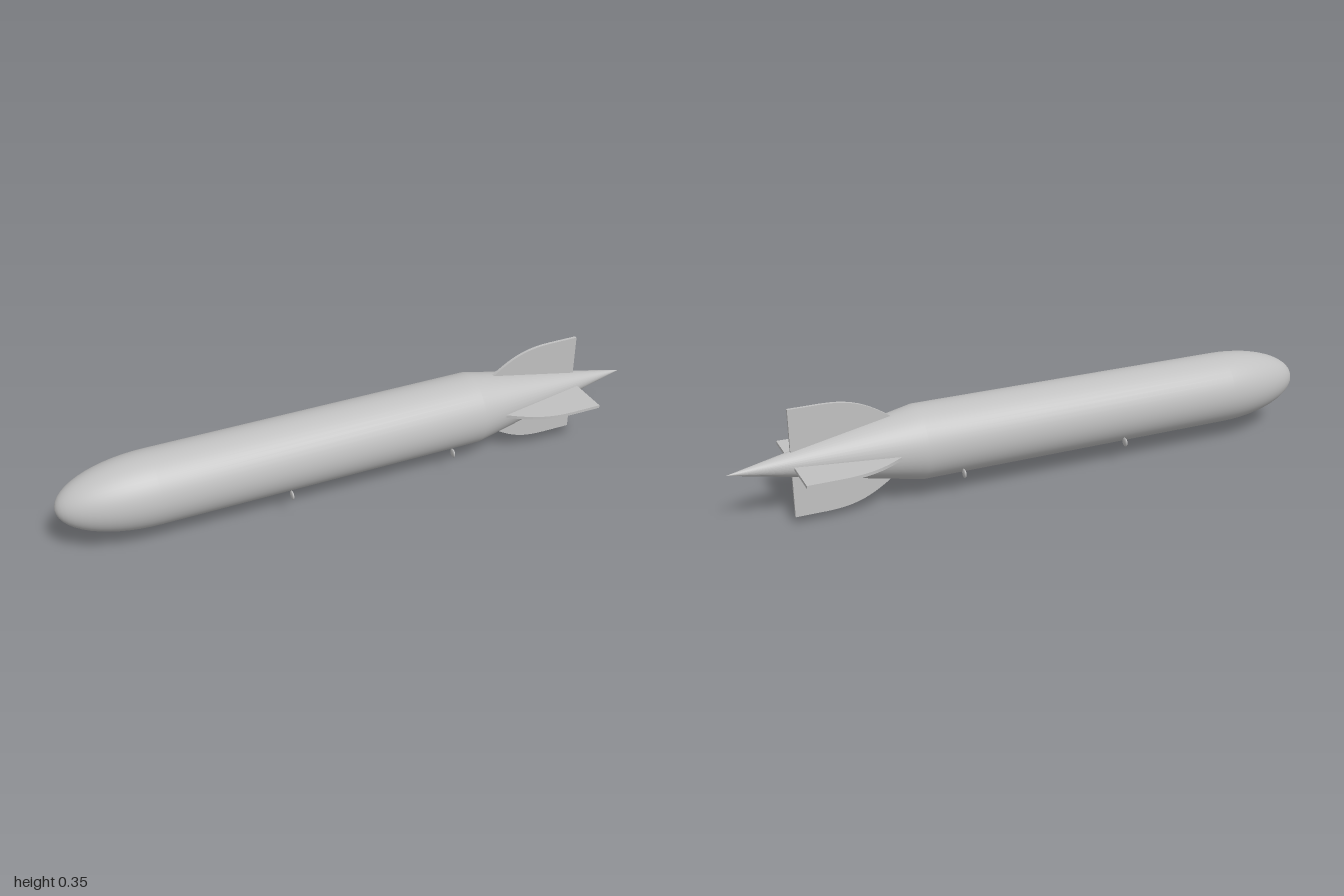
import * as THREE from 'three';

const AXIS_Y = 0.178;
const RADIUS = 0.12;

export function createModel() {
  const model = new THREE.Group();
  model.name = 'airship';
  const silver = new THREE.MeshStandardMaterial({ color: 0xc0c0c0 });
  silver.name = 'silver grey';

  const add = (name, geometry, parent = model) => {
    const mesh = new THREE.Mesh(geometry, silver);
    mesh.name = name;
    parent.add(mesh);
    return mesh;
  };

  // Hull: elliptical nose, straight middle and pointed tail, turned about x
  const profile = [];
  for (let i = 0; i <= 14; i++) {
    const a = (i / 14) * Math.PI / 2;
    profile.push(new THREE.Vector2(RADIUS * Math.sin(a), -0.7 - 0.3 * Math.cos(a)));
  }
  profile.push(new THREE.Vector2(RADIUS, 0.4), new THREE.Vector2(0, 0.995));
  const hull = add('hull', new THREE.LatheGeometry(profile, 48));
  hull.rotation.z = -Math.PI / 2;
  hull.position.y = AXIS_Y;

  // Tail fins: one curved outline repeated around the hull axis
  const outline = new THREE.Shape();
  outline.moveTo(0.48, 0.09);
  outline.lineTo(0.48, 0.1);
  outline.bezierCurveTo(0.55, 0.15, 0.6, 0.177, 0.7, 0.177);
  outline.lineTo(0.8, 0.177);
  outline.lineTo(0.8, 0.03);
  outline.closePath();
  const finGeometry = new THREE.ExtrudeGeometry(outline, {
    depth: 0.01, bevelEnabled: false, curveSegments: 10,
  });
  finGeometry.translate(0, 0, -0.005);
  const fins = new THREE.Group();
  fins.name = 'tailFins';
  fins.position.y = AXIS_Y;
  model.add(fins);
  ['topFin', 'leftFin', 'bottomFin', 'rightFin'].forEach((name, i) => {
    add(name, finGeometry, fins).rotation.x = i * Math.PI / 2;
  });

  // Engine discs: small flattened spheres beside the lower hull
  const discGeometry = new THREE.SphereGeometry(0.015, 20, 14).scale(0.3, 1, 1);
  for (const x of [-0.285, 0.285]) {
    for (const z of [-0.107, 0.107]) {
      add('engineDisc', discGeometry).position.set(x, 0.09, z);
    }
  }

  return model;
}
